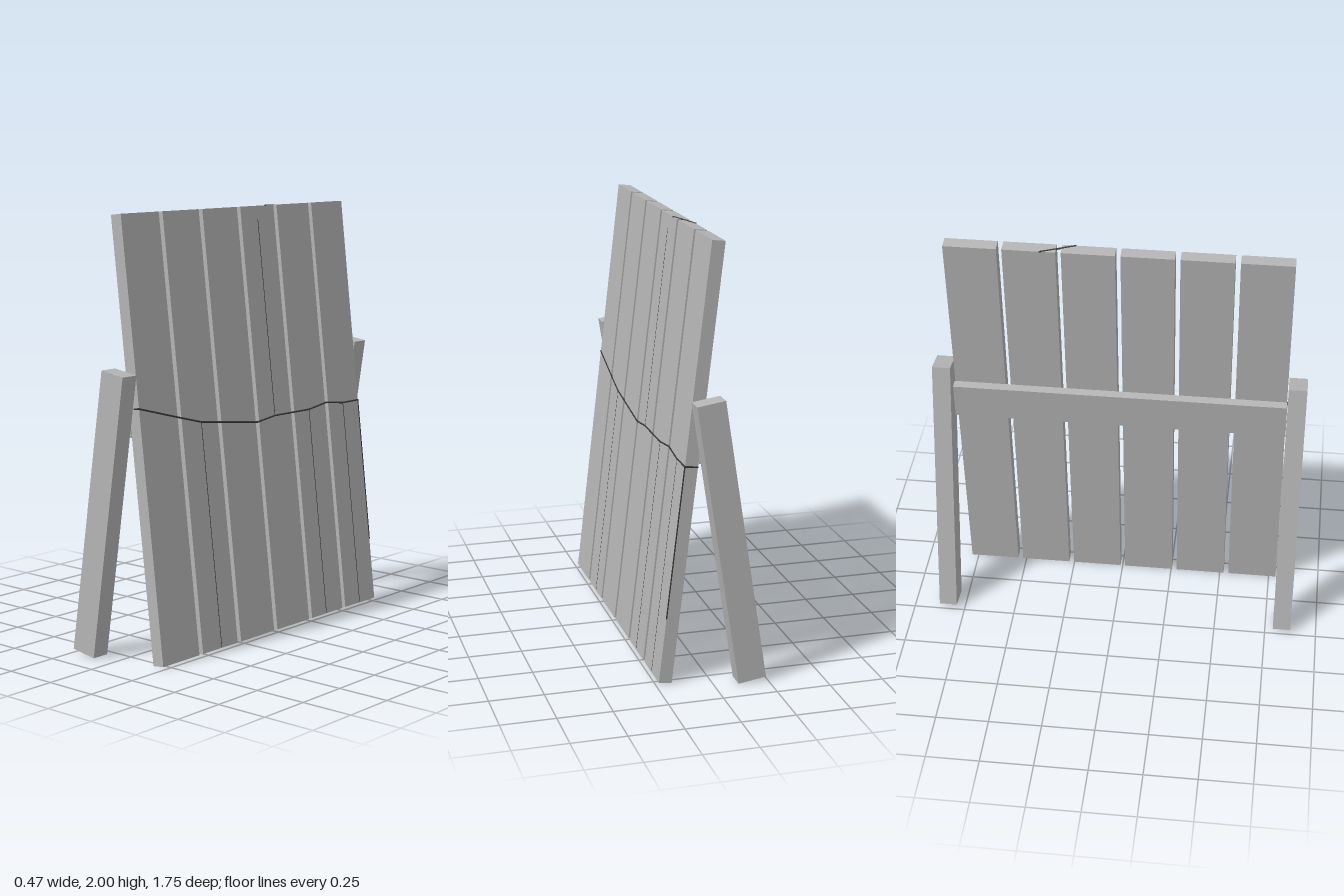
import * as THREE from 'three';

export function createModel() {
  const model = new THREE.Group();
  model.name = 'leaningBoard';
  const wood = new THREE.MeshStandardMaterial({ name: 'greyWood', color: 0xb4b4b4 });
  const dark = new THREE.MeshStandardMaterial({ name: 'darkWire', color: 0x383838 });

  const box = (parent, name, size, pos, tilt = 0) => {
    const mesh = new THREE.Mesh(new THREE.BoxGeometry(...size), wood);
    mesh.name = name;
    mesh.position.set(...pos);
    mesh.rotation.z = tilt;
    parent.add(mesh);
  };

  // Tilted panel: x is its thickness, y runs along the planks
  const panel = new THREE.Group();
  panel.name = 'panel';
  panel.position.set(0.0875, 1, 0);
  panel.rotation.z = 0.117;
  model.add(panel);
  for (let i = 0; i < 6; i++) {
    box(panel, 'plank' + (i + 1), [0.06, 2.007, 0.241], [0, 0, 0.6645 - i * 0.2655]);
  }
  box(panel, 'crossBar', [0.042, 0.18, 1.575], [-0.052, 0.113, 0]);

  // Supporting legs, one at each end
  for (const s of [1, -1]) {
    box(model, s > 0 ? 'frontLeg' : 'backLeg', [0.13, 1.315, 0.086], [-0.075, 0.66, s * 0.832], -0.153);
  }

  // Thin wire pieces lying on the panel, built from straight segments
  const wire = (name, points, radius = 0.004) => {
    const group = new THREE.Group();
    group.name = name;
    const p = points.map((q) => new THREE.Vector3(...q));
    for (let i = 1; i < p.length; i++) {
      const dir = p[i].clone().sub(p[i - 1]);
      const mesh = new THREE.Mesh(new THREE.CylinderGeometry(radius, radius, dir.length(), 6), dark);
      mesh.name = name + 'Segment';
      mesh.position.copy(p[i]).add(p[i - 1]).multiplyScalar(0.5);
      mesh.quaternion.setFromUnitVectors(new THREE.Vector3(0, 1, 0), dir.normalize());
      group.add(mesh);
    }
    panel.add(group);
  };

  const face = 0.03;
  wire('crossWire', [
    [0, 0.15, 0.785], [face, 0.15, 0.785], [face, 0.08, 0.53], [face, 0.043, 0.39],
    [face, -0.007, 0], [face, 0.008, -0.13], [face, 0.006, -0.39], [face, 0.024, -0.53],
    [face, 0.007, -0.66], [face, 0.007, -0.785], [-0.03, 0.007, -0.785],
  ]);

  // Strands running down or up the middle of some planks
  for (const [z, from, to] of [[0.39, 0.04, -1], [-0.39, 0.005, -1], [-0.66, 0.005, -1], [-0.13, 0.008, 0.94]]) {
    wire('strand', [[0.028, from, z], [0.028, to, z]], 0.003);
  }
  wire('endStrand', [[face, 0.007, -0.783], [face, -0.7, -0.783]], 0.003);
  // Loose end crossing the top edge
  wire('topWire', [[face, 1.003, -0.19], [-0.03, 1.003, -0.35]]);

  return model;
}
